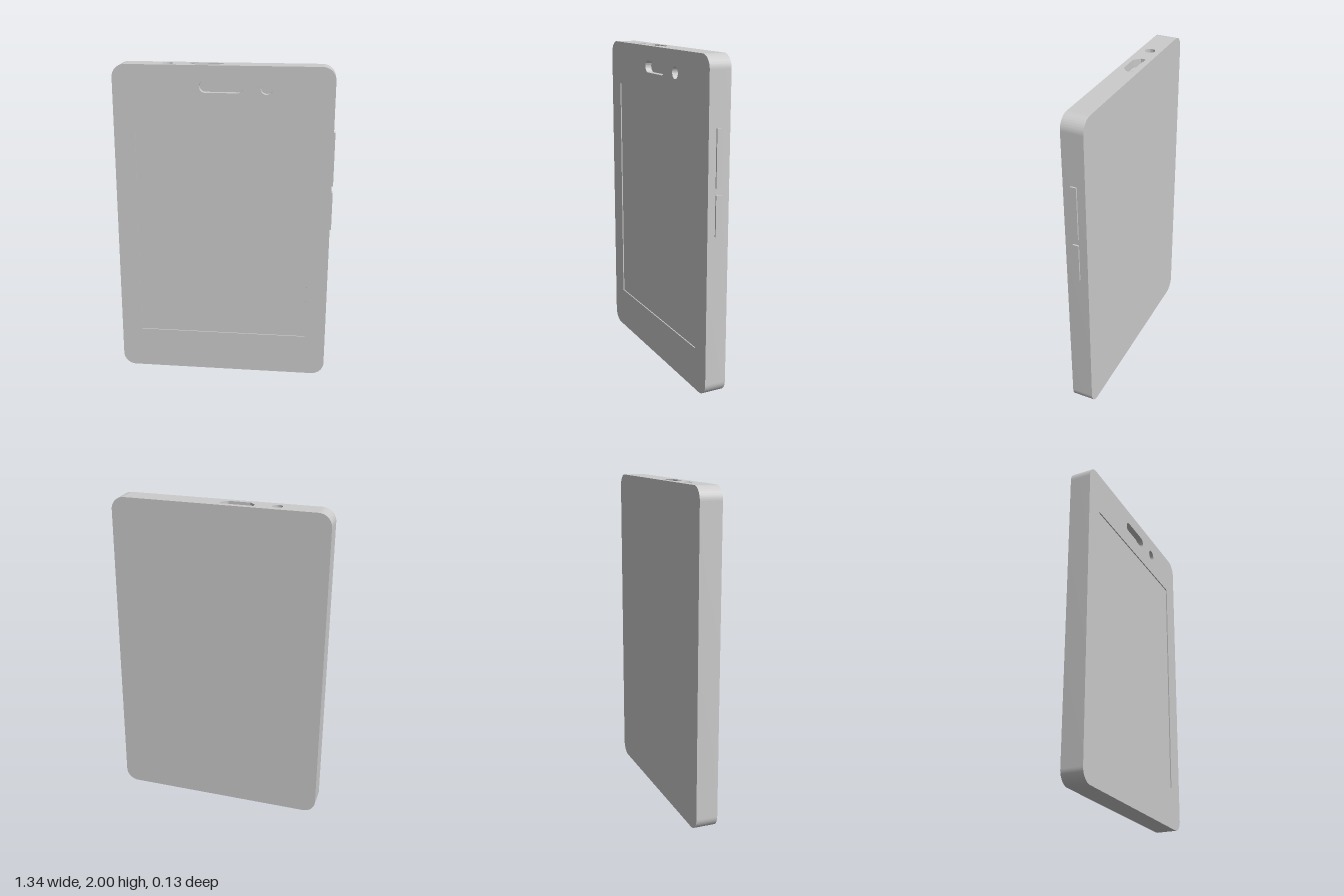
import * as THREE from 'three';
import { mergeGeometries, toCreasedNormals } from 'three/addons/utils/BufferGeometryUtils.js';

const X0 = -0.67, X1 = 0.66, H = 2, R = 0.08, Z = 0.067;
const material = new THREE.MeshStandardMaterial({ color: 0xcccccc });

// Rounded rectangle, counter-clockwise, starting and ending on the top edge
function roundedRect(x0, y0, x1, y1, r) {
  const s = new THREE.Shape();
  s.moveTo(x0 + r, y1);
  s.absarc(x0 + r, y1 - r, r, Math.PI / 2, Math.PI);
  s.absarc(x0 + r, y0 + r, r, Math.PI, Math.PI * 1.5);
  s.absarc(x1 - r, y0 + r, r, Math.PI * 1.5, Math.PI * 2);
  s.absarc(x1 - r, y1 - r, r, 0, Math.PI / 2);
  return s;
}

function circle(x, y, r) {
  return new THREE.Shape().absarc(x, y, r, 0, Math.PI * 2);
}

function polygon(coords) {
  return new THREE.Shape(coords.map(([x, y]) => new THREE.Vector2(x, y)));
}

function rect(x0, y0, x1, y1) {
  return polygon([[x0, y0], [x1, y0], [x1, y1], [x0, y1]]);
}

// Counter-clockwise outline without repeated points
function outline(shape) {
  const pts = shape.getPoints(14).filter((p, i, all) => i === 0 || p.distanceTo(all[i - 1]) > 1e-5);
  if (pts[0].distanceTo(pts[pts.length - 1]) < 1e-5) pts.pop();
  return THREE.ShapeUtils.isClockWise(pts) ? pts.reverse() : pts;
}

// Flat face with holes, facing +z
function plate(shape, holes, z) {
  const s = new THREE.Shape(outline(shape));
  s.holes = holes.map((h) => new THREE.Path(outline(h).reverse()));
  return new THREE.ShapeGeometry(s).toNonIndexed().translate(0, 0, z);
}

// Strip of wall along a list of points, from z0 to z1
function wall(pts, z0, z1, closed) {
  const pos = [], uv = [];
  const n = closed ? pts.length : pts.length - 1;
  for (let i = 0; i < n; i++) {
    const a = pts[i], b = pts[(i + 1) % pts.length];
    pos.push(a.x, a.y, z0, b.x, b.y, z0, b.x, b.y, z1);
    pos.push(a.x, a.y, z0, b.x, b.y, z1, a.x, a.y, z1);
    uv.push(0, 0, 1, 0, 1, 1, 0, 0, 1, 1, 0, 1);
  }
  const g = new THREE.BufferGeometry();
  g.setAttribute('position', new THREE.Float32BufferAttribute(pos, 3));
  g.setAttribute('uv', new THREE.Float32BufferAttribute(uv, 2));
  g.computeVertexNormals();
  return toCreasedNormals(g, Math.PI / 6);
}

// Blind hole sunk below the face at z: inner walls plus floor
function pocket(shape, z, depth) {
  return mergeGeometries([
    wall(outline(shape).reverse(), z - depth, z, true),
    plate(shape, [], z - depth),
  ]);
}

export function createModel() {
  const group = new THREE.Group();
  const add = (name, geometry) => {
    const mesh = new THREE.Mesh(geometry, material);
    mesh.name = name;
    group.add(mesh);
    return mesh;
  };
  const body = roundedRect(X0, 0, X1, H, R);

  // Front face with its recesses
  const front = [
    ['screen', rect(-0.54, 0.265, 0.53, 1.73), 0.007],
    ['earpieceSlot', roundedRect(-0.145, 1.838, 0.117, 1.91, 0.0355), 0.04],
    ['frontCamera', circle(0.257, 1.868, 0.036), 0.04],
  ];
  add('frontFace', plate(body, front.map((f) => f[1]), Z));
  for (const [name, shape, depth] of front) add(name, pocket(shape, Z, depth));

  // Back face
  add('backFace', plate(body, [], 0).rotateY(Math.PI).scale(1, 1, 1).translate(X0 + X1, 0, -Z));

  // Rim, left open along the flat top edge
  add('sideRim', wall(outline(body), -Z, Z, false));

  // Top edge, drawn in x and -z, then laid flat
  const top = [
    ['headphoneJack', circle(-0.342, 0, 0.031), 0.05],
    ['chargingPort', polygon([[-0.172, -0.034], [-0.041, -0.034], [-0.006, 0],
      [-0.006, 0.032], [-0.208, 0.032], [-0.208, 0]]), 0.05],
  ];
  const lay = (g) => g.rotateX(-Math.PI / 2);
  add('topEdge', lay(plate(rect(X0 + R, -Z, X1 - R, Z), top.map((t) => t[1]), H)));
  for (const [name, shape, depth] of top) add(name, lay(pocket(shape, H, depth)));

  // Contact tongue inside the charging port
  add('portTongue', new THREE.BoxGeometry(0.146, 0.045, 0.01)).position.set(-0.108, H - 0.0275, -0.027);

  // Side buttons
  for (const [name, y0, y1] of [['volumeButton', 1.27, 1.605], ['powerButton', 0.99, 1.23]]) {
    add(name, new THREE.BoxGeometry(0.02, y1 - y0, 0.037)).position.set(X1, (y0 + y1) / 2, 0.001);
  }
  return group;
}
